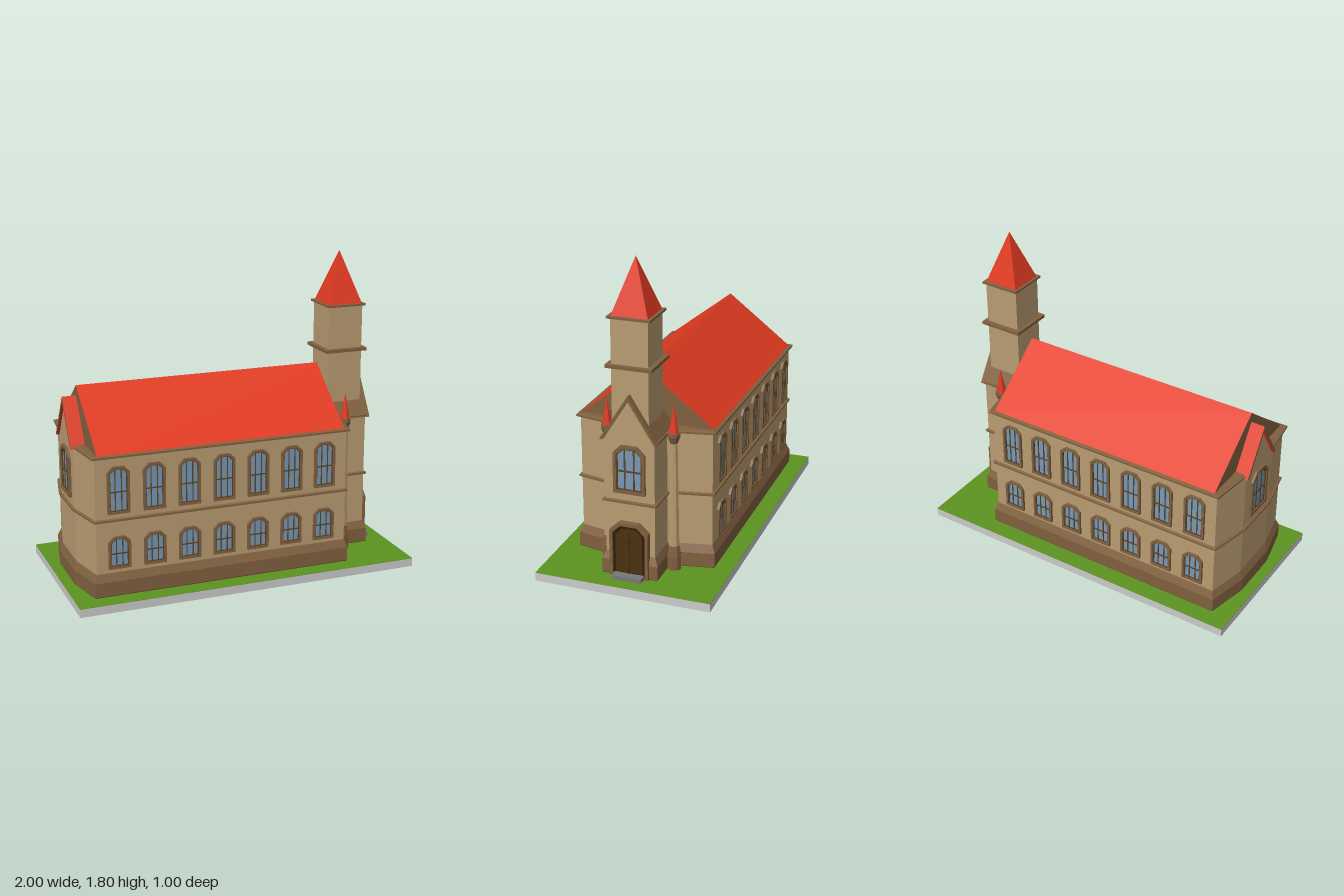
import * as THREE from 'three';

const mat = (color) => new THREE.MeshStandardMaterial({ color, flatShading: true });

export function createModel() {
  const model = new THREE.Group();
  const stone = mat(0xb99c72), trim = mat(0x80603f), red = mat(0xe03a20), grey = mat(0xcccccc);
  const green = mat(0x5c9420), glass = mat(0x7898b4), bar = mat(0x5c4426), wood = mat(0x4a3212);
  const darkWood = mat(0x2c1d0a), stepGrey = mat(0x777777);

  const add = (name, geometry, material, parent = model) => {
    const mesh = new THREE.Mesh(geometry, material);
    mesh.name = name;
    parent.add(mesh);
    return mesh;
  };
  const box = (name, x0, x1, y0, y1, z0, z1, material, parent) => {
    const g = new THREE.BoxGeometry(x1 - x0, y1 - y0, z1 - z0);
    g.translate((x0 + x1) / 2, (y0 + y1) / 2, (z0 + z1) / 2);
    return add(name, g, material, parent);
  };
  const shapeOf = (pts) => new THREE.Shape(pts.map(([x, y]) => new THREE.Vector2(x, y)));

  // Floor plan, mirrored in z, raised between two heights; bevel makes it project
  const plan = (name, y0, y1, material, grow = 0, bevel = 0, front = 0.85, rear = -0.92) => {
    const half = [[front, 0.14], [0.66, 0.14], [0.61, 0.38], [-0.87, 0.38], [rear, 0.15]];
    const pts = [...half, ...half.map(([x, z]) => [x, -z]).reverse()];
    const g = new THREE.ExtrudeGeometry(shapeOf(pts), {
      depth: y1 - y0 - 2 * bevel, bevelEnabled: bevel > 0, bevelSize: grow, bevelThickness: bevel, bevelSegments: 1,
    });
    g.rotateX(-Math.PI / 2).translate(0, y0 + bevel, 0);
    return add(name, g, material);
  };

  // Triangular prism along x, or a thin chevron roof when thickness is given
  const gable = (name, x0, x1, halfWidth, eave, ridge, material, thickness = 0) => {
    const pts = [[halfWidth, eave], [0, ridge], [-halfWidth, eave]];
    if (thickness) {
      const inner = halfWidth * (1 - thickness / (ridge - eave));
      pts.push([-inner, eave], [0, ridge - thickness], [inner, eave]);
    }
    const g = new THREE.ExtrudeGeometry(shapeOf(pts), { depth: x1 - x0, bevelEnabled: false });
    g.rotateY(Math.PI / 2).translate(x0, 0, 0);
    return add(name, g, material);
  };

  // Arch outline with a flat top and cut shoulders
  const arch = (w, y0, y1, cut) => [[-w, y0], [w, y0], [w, y1 - cut], [w * 0.5, y1], [-w * 0.5, y1], [-w, y1 - cut]];
  const slab = (shape, depth, z = 0) =>
    new THREE.ExtrudeGeometry(shape, { depth, bevelEnabled: false }).translate(0, 0, z);
  const surround = (w, y0, y1, border, bottom, cut) => {
    const s = shapeOf(arch(w, y0, y1, cut));
    s.holes.push(new THREE.Path(shapeOf(arch(w - border, y0 + bottom, y1 - border, cut * 0.85)).getPoints()));
    return s;
  };

  const windowUnit = (name, w, y0, y1, border, x, z, turn) => {
    const g = new THREE.Group();
    const cut = w * 0.5, iw = w - border, b0 = y0 + border, b1 = y1 - border;
    const mid = y0 + (y1 - y0) * 0.46;
    add('surround', slab(surround(w, y0, y1, border, border, cut), 0.015), trim, g);
    add('glass', slab(shapeOf(arch(iw, b0, b1, cut * 0.85)), 0.003), glass, g);
    add('sash', slab(surround(iw, b0, b1, w * 0.08, w * 0.08, cut * 0.85), 0.009), bar, g);
    for (const s of [-1, 1]) {
      box('mullion', s * iw * 0.36 - w * 0.04, s * iw * 0.36 + w * 0.04, b0, b1 - 0.002, 0, 0.008, bar, g);
    }
    box('transom', -iw, iw, mid - w * 0.05, mid + w * 0.05, 0, 0.0085, bar, g);
    g.name = name;
    g.position.set(x, 0, z);
    g.rotation.y = turn;
    model.add(g);
  };

  // Ground
  box('groundSlab', -1, 1, 0, 0.048, -0.5, 0.5, grey);
  box('lawn', -1, 1, 0.048, 0.05, -0.5, 0.5, green);

  // Walls with plinth, string course and cornice
  plan('walls', 0.04, 0.84, stone);
  plan('plinth', 0.01, 0.18, trim, 0.02, 0.045);
  plan('stringCourse', 0.472, 0.492, trim, 0.013, 0.005);
  plan('cornice', 0.83, 0.852, trim, 0.02, 0.006, 0.828, -0.898);

  // Roofs
  gable('mainRoof', -0.855, 0.595, 0.39, 0.845, 1.148, [trim, red]);
  gable('porchGable', 0.6, 0.85, 0.14, 0.838, 1.07, stone);
  gable('porchRoof', 0.597, 0.868, 0.163, 0.832, 1.09, trim, 0.028);
  gable('rearGable', -0.92, -0.85, 0.14, 0.838, 1.07, stone);
  gable('rearRoof', -0.936, -0.85, 0.163, 0.832, 1.09, [trim, red], 0.028);

  // Tower
  box('towerShaft', 0.62, 0.83, 0.84, 1.495, -0.103, 0.103, stone);
  box('towerBand', 0.595, 0.852, 1.226, 1.244, -0.13, 0.13, trim);
  box('towerCornice', 0.607, 0.843, 1.49, 1.502, -0.12, 0.12, trim);
  add('spire', new THREE.ConeGeometry(0.145, 0.3, 4).rotateY(Math.PI / 4), red).position.set(0.725, 1.65, 0);

  // Corner turrets
  const post = [[0.04, 0.04], [0.04, 0.13], [0.03, 0.19], [0.021, 0.79], [0.036, 0.83], [0.036, 0.85], [0, 0.85]];
  for (const side of [-1, 1]) {
    const turret = new THREE.Group();
    turret.name = 'turret';
    turret.position.set(0.693, 0, side * 0.19);
    const v = (p) => p.map(([r, y]) => new THREE.Vector2(r, y));
    add('turretBase', new THREE.LatheGeometry(v(post.slice(0, 3)), 8), trim, turret);
    add('turretShaft', new THREE.LatheGeometry(v(post.slice(2, 4)), 8), stone, turret);
    add('turretCapital', new THREE.LatheGeometry(v(post.slice(3)), 8), trim, turret);
    add('turretSpire', new THREE.ConeGeometry(0.028, 0.15, 8).translate(0, 0.925, 0), red, turret);
    model.add(turret);
  }

  // Two rows of seven windows on each long side
  for (const side of [-1, 1]) {
    for (let i = 0; i < 7; i++) {
      const x = -0.74 + i * 0.2025, turn = side > 0 ? 0 : Math.PI;
      windowUnit('upperWindow', 0.063, 0.52, 0.786, 0.013, x, side * 0.38, turn);
      windowUnit('lowerWindow', 0.063, 0.205, 0.39, 0.013, x, side * 0.38, turn);
    }
  }
  windowUnit('porchWindow', 0.09, 0.535, 0.81, 0.018, 0.85, 0, Math.PI / 2);
  windowUnit('rearWindow', 0.09, 0.535, 0.81, 0.018, -0.92, 0, -Math.PI / 2);

  // Entrance
  const door = new THREE.Group();
  door.name = 'door';
  door.position.x = 0.85;
  door.rotation.y = Math.PI / 2;
  add('doorSurround', slab(surround(0.11, 0.05, 0.37, 0.018, 0.005, 0.05), 0.035), trim, door);
  add('doorFrame', slab(shapeOf(arch(0.092, 0.05, 0.352, 0.042)), 0.024), darkWood, door);
  for (const s of [-1, 1]) {
    const leaf = [[0.006, 0.078], [0.076, 0.078], [0.076, 0.297], [0.042, 0.333], [0.006, 0.333]];
    add('doorLeaf', slab(shapeOf(leaf.map(([x, y]) => [s * x, y])), 0.006, 0.022), wood, door);
  }
  box('doorPost', -0.004, 0.004, 0.07, 0.34, 0.02, 0.031, wood, door);
  model.add(door);
  box('doorStep', 0.86, 0.925, 0.05, 0.072, -0.085, 0.085, stepGrey);

  return model;
}
